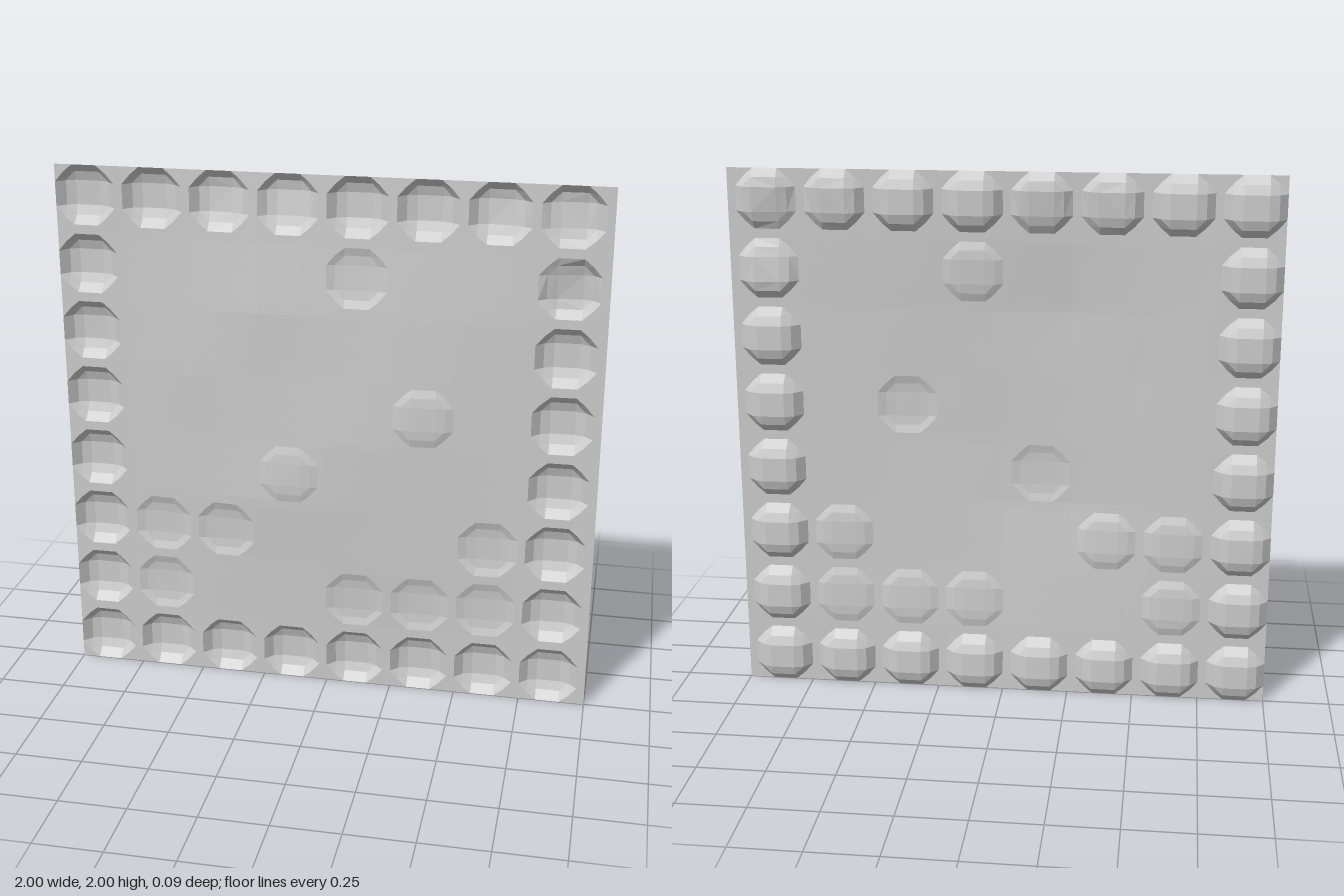
import * as THREE from 'three';

// Bulge of the panel in thousandths, every 0.25 units, top row first
const BULGE = [
  [0, 0, 0, 0, 0, 0, 0, 0, 0],
  [0, 0, 5, 11, 9, 7, 6, 3, 0],
  [0, 2, 14, 29, 24, 20, 15, 7, 0],
  [0, 3, 18, 26, 29, 27, 18, 7, 0],
  [0, 2, 15, 27, 36, 32, 18, 6, 0],
  [0, 2, 14, 32, 35, 24, 14, 5, 0],
  [0, 0, 8, 15, 21, 17, 10, 3, 0],
  [0, 0, 2, 6, 8, 5, 2, 0, 0],
  [0, 0, 0, 0, 0, 0, 0, 0, 0],
];

// Recess strength of each cell, top row first; negative cells stand proud
const RECESS = [
  [1, 1, 1, 1, 1, 1, 1, 1],
  [1, 0, 0, 0, 0.3, 0, 0, 1],
  [1, 0, 0, 0, 0, 0, 0, 1],
  [1, 0, 0, 0, 0, -0.25, 0, 1],
  [1, 0, 0, -0.2, 0, 0, 0, 1],
  [1, 0.3, 0.3, 0, 0, 0, 0.3, 1],
  [1, 0.3, 0, 0, 0.25, 0.25, 0.25, 1],
  [1, 1, 1, 1, 1, 1, 1, 1],
];

// Warped cells "row,column": strength at bottom left, bottom right, top left, top right
const WARPED = {
  '0,2': [1, 0.4, 1, 1],
  '0,3': [0.5, 0.5, 1, 1],
  '0,6': [1, 0.4, 1, 1],
  '0,7': [0.1, 0.9, 0.9, 1],
  '1,7': [1, 1, 0, 0.9],
};

const OFFSETS = [0, 0.03, 0.065, 0.155, 0.19, 0.22];
const RING = [0, 1, 2, 2, 1, 0];
const DEPTH = [0, 0.032, 0.044];
const PITCH_X = 0.25;
const PITCH_Y = 1.78 / 7;

const lerp = THREE.MathUtils.lerp;

function bilinear(bl, br, tl, tr, u, v) {
  return lerp(lerp(bl, br, u), lerp(tl, tr, u), v);
}

function bulgeAt(x, y) {
  const gx = (x + 1) * 4, gy = (2 - y) * 4;
  const i = Math.min(7, Math.floor(gx)), j = Math.min(7, Math.floor(gy));
  const a = BULGE[j], b = BULGE[j + 1];
  return 0.001 * bilinear(a[i], a[i + 1], b[i], b[i + 1], gx - i, gy - j);
}

// Depth of the bevelled tray at a lattice point, with cut-off outer corners
function recessAt(ix, iy) {
  const col = Math.floor(ix / 6), row = 7 - Math.floor(iy / 6);
  if (col > 7) return 0;
  const a = ix % 6, b = iy % 6;
  const ring = Math.min(RING[a], RING[b]);
  if (RING[a] === 1 && RING[b] === 1) return 0;
  const s = RECESS[row][col];
  const w = WARPED[`${row},${col}`] || [s, s, s, s];
  return DEPTH[ring] * bilinear(...w, OFFSETS[a] / 0.22, OFFSETS[b] / 0.22);
}

function panelGeometry() {
  const xs = [], ys = [];
  for (let c = 0; c < 8; c++) {
    for (const o of OFFSETS) {
      xs.push(-1 + c * PITCH_X + o);
      ys.push(c * PITCH_Y + o);
    }
  }
  xs.push(1);

  const positions = [], index = [];
  ys.forEach((y, iy) => xs.forEach((x, ix) => {
    positions.push(x, y, bulgeAt(x, y) - recessAt(ix, iy));
  }));

  // Split each quad along its more level diagonal
  const n = xs.length;
  const z = (i) => positions[i * 3 + 2];
  for (let iy = 0; iy < ys.length - 1; iy++) {
    for (let ix = 0; ix < n - 1; ix++) {
      const a = iy * n + ix, b = a + 1, c = b + n, d = a + n;
      if (Math.abs(z(a) - z(c)) < Math.abs(z(b) - z(d))) index.push(a, b, c, a, c, d);
      else index.push(a, b, d, b, c, d);
    }
  }
  const g = new THREE.BufferGeometry();
  g.setAttribute('position', new THREE.Float32BufferAttribute(positions, 3));
  g.setIndex(index);
  g.computeVertexNormals();
  return g;
}

export function createModel() {
  const group = new THREE.Group();
  group.name = 'reliefPanel';
  const stone = new THREE.MeshStandardMaterial({
    color: 0xcccccc, flatShading: true, side: THREE.DoubleSide,
  });
  stone.name = 'light grey';
  const panel = new THREE.Mesh(panelGeometry(), stone);
  panel.name = 'embossedSheet';
  group.add(panel);
  return group;
}
